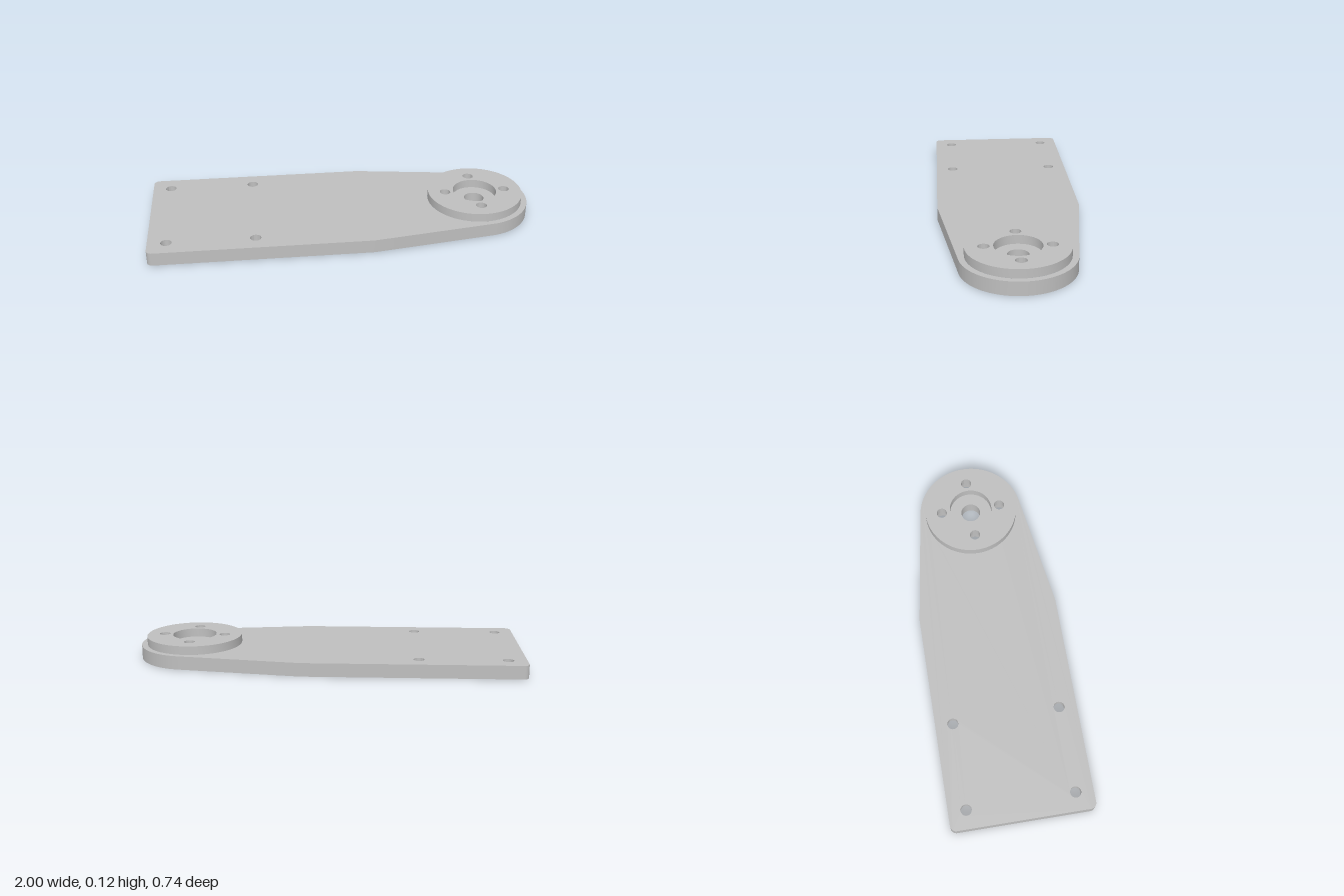
import * as THREE from 'three';
import { toCreasedNormals } from 'three/addons/utils/BufferGeometryUtils.js';

const PLATE_TOP = 0.07, HUB_TOP = 0.115, HUB_X = 0.72, HUB_R = 0.25;
const SMALL = 0.028, SEG = 48;

export function createModel() {
  const grey = new THREE.MeshStandardMaterial({ color: 0xbfbfbf });
  grey.name = 'machined grey';
  const group = new THREE.Group();
  group.name = 'mountingArm';

  const add = (name, geometry) => {
    const mesh = new THREE.Mesh(geometry, grey);
    mesh.name = name;
    group.add(mesh);
  };
  // Surface of revolution: rising profiles face out, falling ones face in
  const turned = (name, x, z, profile) => {
    const g = new THREE.LatheGeometry(profile.map(([r, y]) => new THREE.Vector2(r, y)), SEG);
    g.translate(x, 0, z);
    add(name, toCreasedNormals(g, 0.6));
  };
  // Flat face at height y with round holes [x, z, radius]
  const face = (name, shape, holes, y, up) => {
    shape.holes = holes.map(([x, z, r]) => new THREE.Path().absarc(x, up ? -z : z, r, 0, Math.PI * 2, true));
    const g = new THREE.ShapeGeometry(shape, SEG);
    g.rotateX(up ? -Math.PI / 2 : Math.PI / 2);
    g.translate(0, y, 0);
    add(name, g);
  };

  // Plate outline: rounded square end, tapering tangentially to a round nose
  const outline = () => {
    const s = new THREE.Shape(), w = 0.368, c = 0.03, a = 1.43;
    s.moveTo(-1 + c, -w);
    s.lineTo(0.13, -w);
    s.absarc(HUB_X, 0, 0.28, -a, a, false);
    s.lineTo(0.13, w);
    s.lineTo(-1 + c, w);
    s.absarc(-1 + c, w - c, c, Math.PI / 2, Math.PI, false);
    s.absarc(-1 + c, -w + c, c, Math.PI, Math.PI * 1.5, false);
    return s;
  };

  const corners = [], bolts = [];
  for (const x of [-0.905, -0.46]) for (const z of [-0.277, 0.277]) corners.push([x, z]);
  for (let i = 0; i < 4; i++) {
    const t = i * Math.PI / 2;
    bolts.push([HUB_X + 0.16 * Math.cos(t), 0.16 * Math.sin(t)]);
  }
  const holes = (list, r) => list.map(([x, z]) => [x, z, r]);

  // Plate faces
  face('plateTop', outline(), [...holes(corners, SMALL), [HUB_X, 0, HUB_R]], PLATE_TOP, true);
  face('plateBottom', outline(),
    [...holes(corners, 0.05), ...holes(bolts, 0.045), [HUB_X, 0, 0.052]], 0, false);

  // Plate edge
  const pts = outline().getPoints(SEG), pos = [];
  pts.forEach((p, i) => {
    const q = pts[(i + 1) % pts.length];
    if (p.distanceTo(q) < 1e-6) return;
    const [a, b, c, d] = [[p.x, 0, -p.y], [q.x, 0, -q.y], [q.x, PLATE_TOP, -q.y], [p.x, PLATE_TOP, -p.y]];
    pos.push(...a, ...b, ...c, ...a, ...c, ...d);
  });
  const edge = new THREE.BufferGeometry();
  edge.setAttribute('position', new THREE.Float32BufferAttribute(pos, 3));
  add('plateEdge', toCreasedNormals(edge, 0.1));

  // Raised hub ring
  const ring = new THREE.Shape().absarc(HUB_X, 0, HUB_R, 0, Math.PI * 2, false);
  face('hubTop', ring, [...holes(bolts, SMALL), [HUB_X, 0, 0.115]], HUB_TOP, true);
  turned('hubRim', HUB_X, 0, [[HUB_R, PLATE_TOP], [HUB_R, HUB_TOP]]);

  // Recess with the central through hole
  turned('hubRecess', HUB_X, 0,
    [[0.115, HUB_TOP], [0.115, PLATE_TOP], [0.052, PLATE_TOP], [0.052, 0]]);

  // Screw holes, counterbored from below
  for (const [x, z] of bolts)
    turned('hubScrewHole', x, z, [[SMALL, HUB_TOP], [SMALL, PLATE_TOP], [0.045, PLATE_TOP], [0.045, 0]]);
  for (const [x, z] of corners)
    turned('plateScrewHole', x, z, [[SMALL, PLATE_TOP], [SMALL, 0.035], [0.05, 0.035], [0.05, 0]]);

  return group;
}
